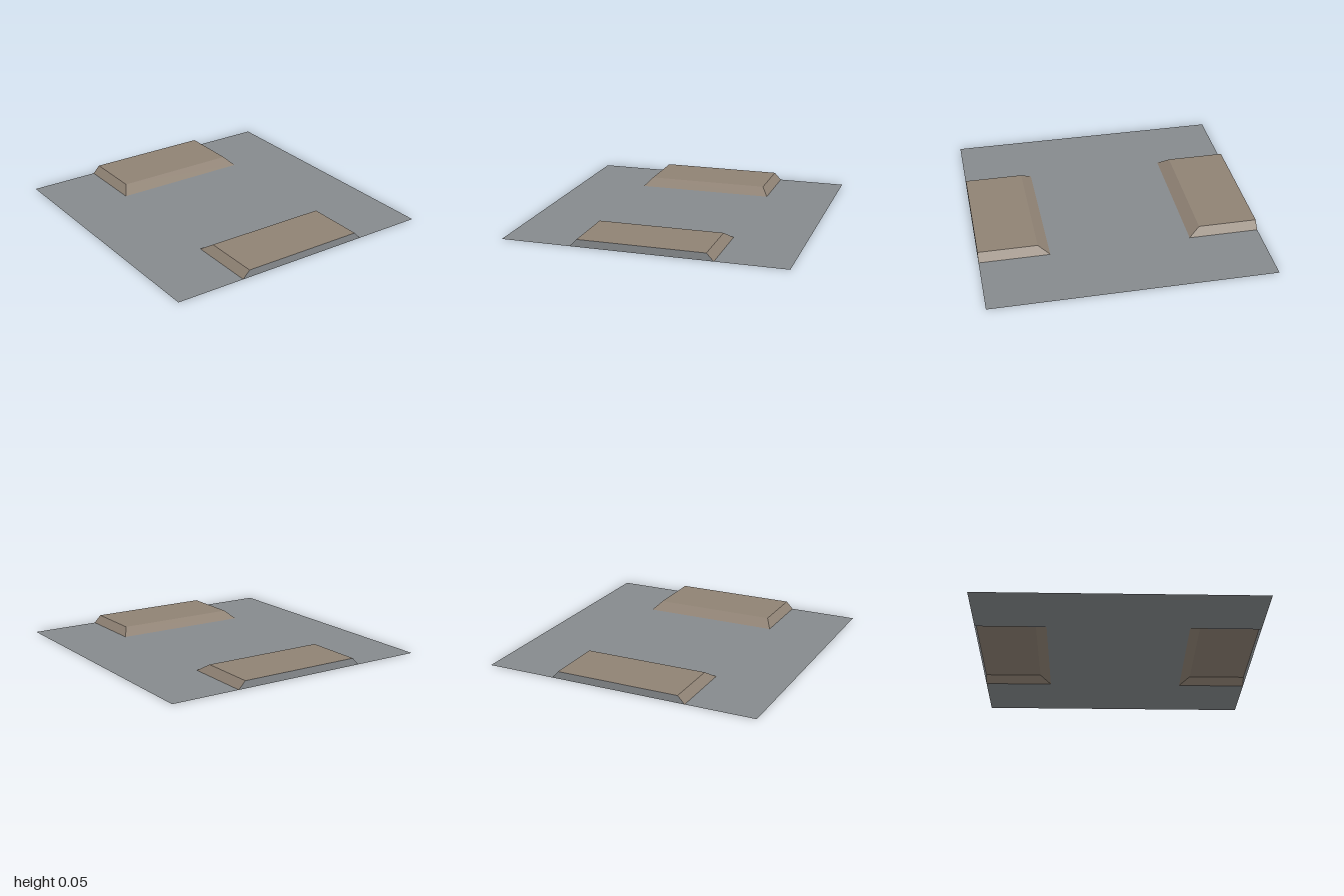
import * as THREE from 'three';

const HEIGHT = 0.053;
// Footprint and top of a ramp block (front one; the rear one is turned round)
const FOOT_X = 0.5, FOOT_Z = 0.5, TOP_X = 0.45, TOP_Z = 0.58;

// Flat mesh of quads, corners listed counter-clockwise from outside
function quadMesh(name, quads, material) {
  const points = quads.flatMap(([a, b, c, d]) => [a, b, c, a, c, d]).flat();
  const geometry = new THREE.BufferGeometry();
  geometry.setAttribute('position', new THREE.Float32BufferAttribute(points, 3));
  geometry.computeVertexNormals();
  const mesh = new THREE.Mesh(geometry, material);
  mesh.name = name;
  return mesh;
}

export function createModel() {
  const grey = new THREE.MeshStandardMaterial({ color: 0x868a8d, side: THREE.DoubleSide });
  grey.name = 'ground grey';
  const brown = new THREE.MeshStandardMaterial({ color: 0x8f8274, side: THREE.DoubleSide });
  brown.name = 'platform brown';

  const model = new THREE.Group();
  model.name = 'floorTile';

  // Ground sheet, cut out beneath both hollow platforms
  const outline = [
    [-1, -1], [-FOOT_X, -1], [-FOOT_X, -FOOT_Z], [FOOT_X, -FOOT_Z], [FOOT_X, -1], [1, -1],
    [1, 1], [FOOT_X, 1], [FOOT_X, FOOT_Z], [-FOOT_X, FOOT_Z], [-FOOT_X, 1], [-1, 1],
  ].map(([x, y]) => new THREE.Vector2(x, y));
  const ground = new THREE.Mesh(new THREE.ShapeGeometry(new THREE.Shape(outline)).rotateX(-Math.PI / 2), grey);
  ground.name = 'ground';
  model.add(ground);

  // Raised platforms with three sloped sides and an upright grey outer end
  for (const [name, turn] of [['frontPlatform', 0], ['rearPlatform', Math.PI]]) {
    const innerL = [-FOOT_X, 0, FOOT_Z], innerR = [FOOT_X, 0, FOOT_Z];
    const outerL = [-FOOT_X, 0, 1], outerR = [FOOT_X, 0, 1];
    const topInL = [-TOP_X, HEIGHT, TOP_Z], topInR = [TOP_X, HEIGHT, TOP_Z];
    const topOutL = [-TOP_X, HEIGHT, 1], topOutR = [TOP_X, HEIGHT, 1];

    const platform = new THREE.Group();
    platform.name = name;
    platform.add(
      quadMesh('platformTop', [[topOutL, topOutR, topInR, topInL]], brown),
      quadMesh('platformSlopes', [
        [innerL, topInL, topInR, innerR],
        [innerL, outerL, topOutL, topInL],
        [outerR, innerR, topInR, topOutR],
      ], brown),
      quadMesh('platformEnd', [[outerL, outerR, topOutR, topOutL]], grey),
    );
    platform.rotation.y = turn;
    model.add(platform);
  }
  return model;
}
